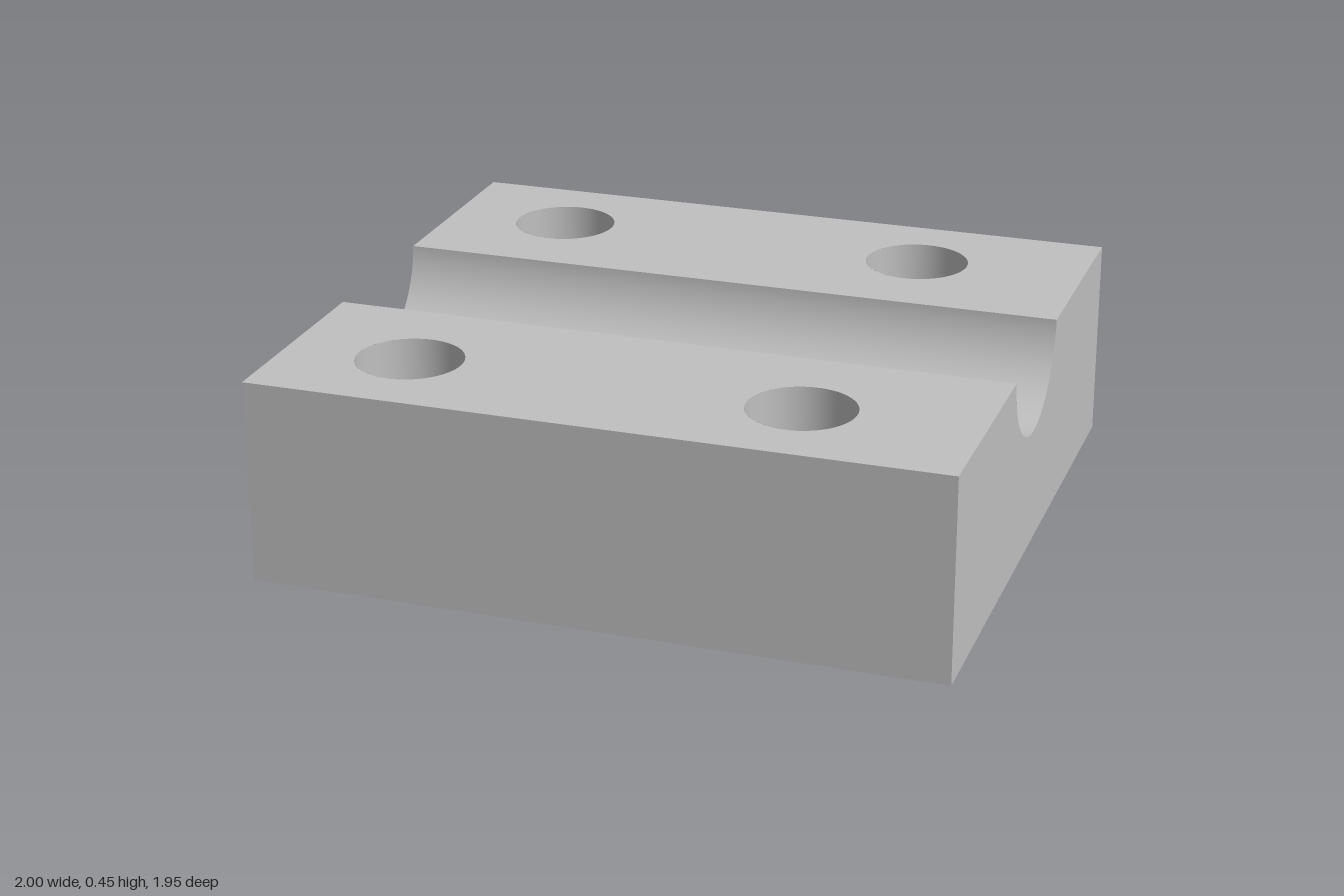
import * as THREE from 'three';

const L = 1.512, W = 1.377, H = 0.45;      // block length, width, height
const R = 0.194, AXIS = 0.461;             // groove radius and axis height
const LIP = Math.sqrt(R * R - (AXIS - H) ** 2); // groove half width at the top
const HOLE_R = 0.116, HOLE_X = [-0.481, 0.375], HOLE_Z = 0.459;
const SEG = 48;

// Rectangle in plan with round bolt holes
function drilledPlate(depth, holeRows) {
  const x = L / 2, y = depth / 2;
  const shape = new THREE.Shape([[-x, -y], [x, -y], [x, y], [-x, y]].map(p => new THREE.Vector2(...p)));
  for (const hx of HOLE_X) for (const hy of holeRows) {
    shape.holes.push(new THREE.Path().absarc(hx, hy, HOLE_R, 0, Math.PI * 2, true));
  }
  return new THREE.ShapeGeometry(shape, SEG);
}

export function createModel() {
  const model = new THREE.Group();
  model.name = 'clampBlock';
  const block = new THREE.Group();
  block.name = 'block';
  block.rotation.y = Math.PI / 6;
  model.add(block);

  const grey = new THREE.MeshStandardMaterial({ color: 0xc0c0c0, side: THREE.DoubleSide });
  grey.name = 'grey';
  const add = (name, geometry) => {
    const mesh = new THREE.Mesh(geometry, grey);
    mesh.name = name;
    block.add(mesh);
  };

  // Underside with all four holes
  add('underside', drilledPlate(W, [-HOLE_Z, HOLE_Z]).rotateX(Math.PI / 2));

  // End faces notched by the groove
  const a = Math.asin((H - AXIS) / R);
  const end = new THREE.Shape();
  end.moveTo(-W / 2, 0);
  end.lineTo(W / 2, 0);
  end.lineTo(W / 2, H);
  end.lineTo(LIP, H);
  end.absarc(0, AXIS, R, a, -Math.PI - a, true);
  end.lineTo(-W / 2, H);

  // Mirrored pairs: top face, bolt holes, long side, end
  const railWidth = W / 2 - LIP, railZ = (W / 2 + LIP) / 2;
  for (const s of [-1, 1]) {
    const tag = s > 0 ? 'Front' : 'Back';
    add('top' + tag, drilledPlate(railWidth, [-s * (HOLE_Z - railZ)])
      .rotateX(-Math.PI / 2).translate(0, H, s * railZ));
    add('side' + tag, new THREE.PlaneGeometry(L, H)
      .rotateY(s > 0 ? 0 : Math.PI).translate(0, H / 2, s * W / 2));
    add(s > 0 ? 'endLeft' : 'endRight', new THREE.ShapeGeometry(end, SEG)
      .rotateY(s * Math.PI / 2).translate(s * L / 2, 0, 0));
    for (const hx of HOLE_X) {
      const wall = [new THREE.Vector2(HOLE_R, H), new THREE.Vector2(HOLE_R, 0)];
      add('boltHole' + tag, new THREE.LatheGeometry(wall, SEG).translate(hx, 0, s * HOLE_Z));
    }
  }

  // Half-round groove along the block, facing inward
  const half = Math.PI / 2 + a;
  const line = [new THREE.Vector2(R, L / 2), new THREE.Vector2(R, -L / 2)];
  add('groove', new THREE.LatheGeometry(line, SEG, Math.PI * 1.5 - half, half * 2)
    .rotateZ(Math.PI / 2).translate(0, AXIS, 0));

  return model;
}
